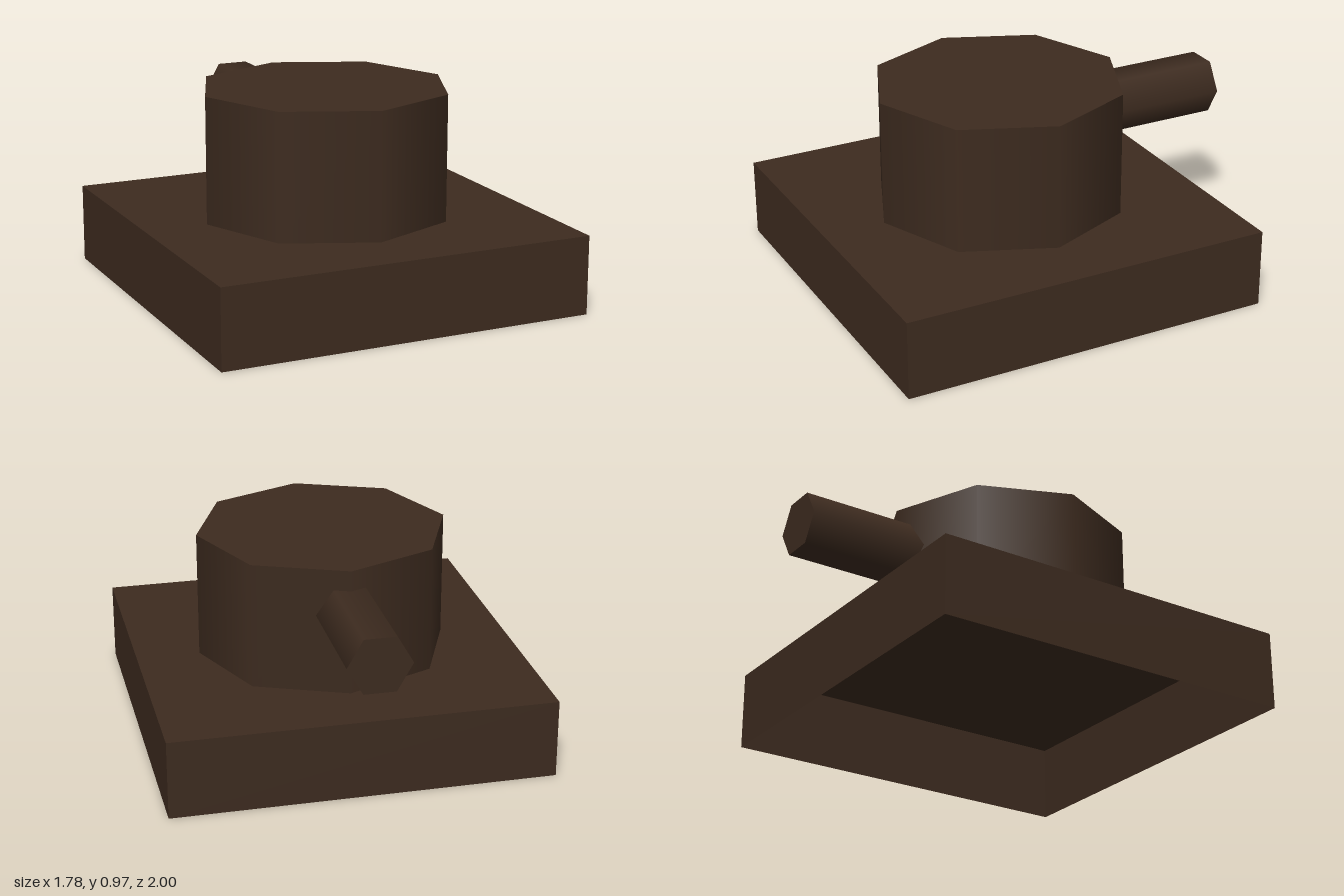
import * as THREE from 'three';

export function createModel() {
  const group = new THREE.Group();
  const brown = new THREE.MeshStandardMaterial({ color: 0x3d2b1f, side: THREE.DoubleSide });
  brown.name = 'dark brown';

  const add = (name, geometry, x, y, z) => {
    const mesh = new THREE.Mesh(geometry, brown);
    mesh.name = name;
    mesh.position.set(x, y, z);
    group.add(mesh);
    return mesh;
  };

  // Hollow base: a thin-walled box left open underneath
  const baseHeight = 0.37;
  const box = new THREE.BoxGeometry(1.78, baseHeight, 1.78);
  const bottomFace = box.groups[3];
  const index = Array.from(box.index.array);
  index.splice(bottomFace.start, bottomFace.count);
  box.setIndex(index);
  box.clearGroups();
  add('base', box, 0, baseHeight / 2, 0.11);

  // Eight-sided drum with smooth walls and a flat lid
  const drumHeight = 0.595;
  add('drum', new THREE.CylinderGeometry(0.592, 0.592, drumHeight, 8), 0, baseHeight + drumHeight / 2, 0.11);

  // Six-sided pipe leaving the back of the drum, corners pointing sideways
  const pipeLength = 0.65;
  const pipe = new THREE.CylinderGeometry(0.147, 0.147, pipeLength, 6);
  pipe.rotateY(Math.PI / 2).rotateX(-Math.PI / 2);
  add('pipe', pipe, 0, 0.742, -1 + pipeLength / 2);

  return group;
}
